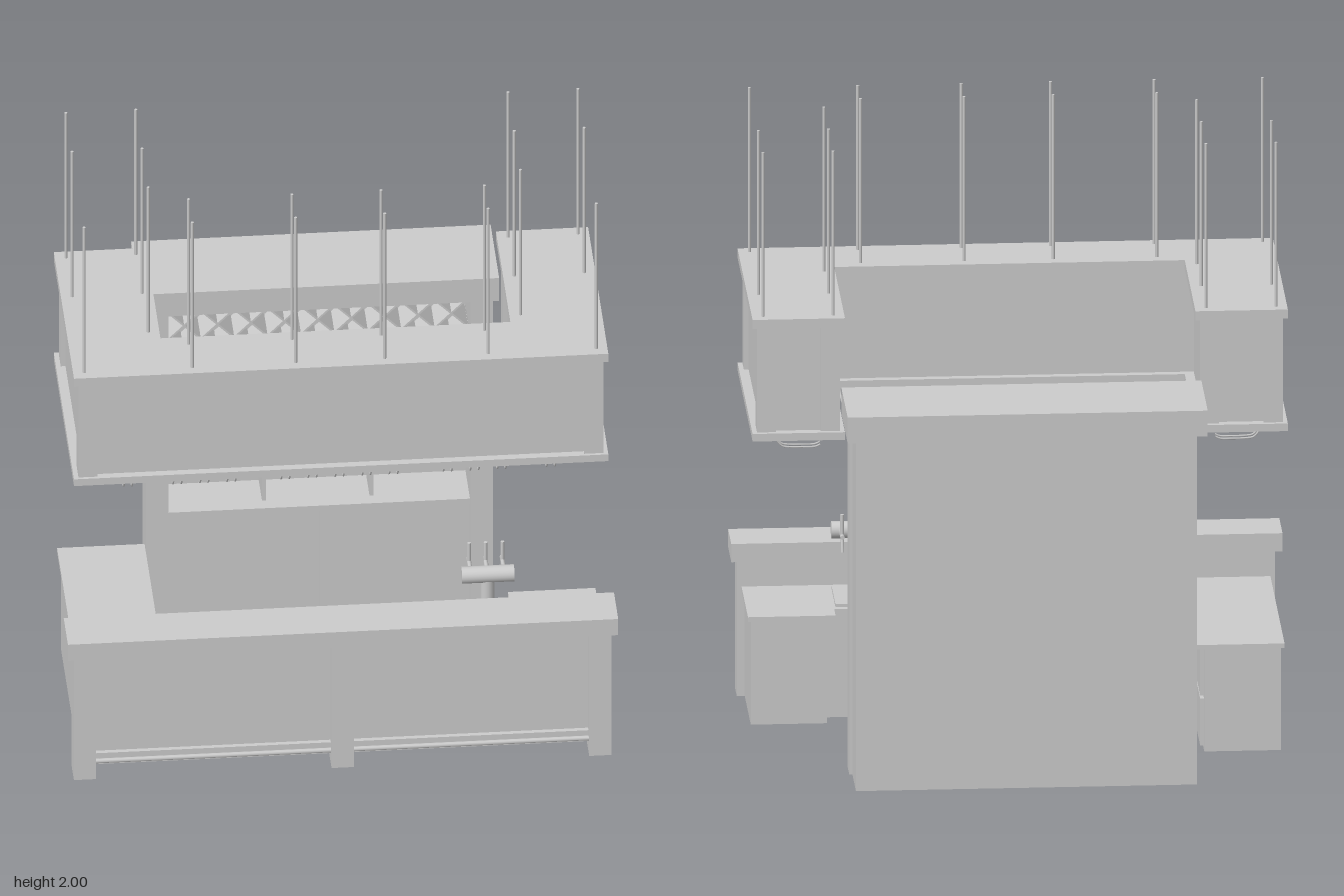
import * as THREE from 'three';

const mat = new THREE.MeshStandardMaterial({ color: 0xcccccc });

export function createModel() {
  const root = new THREE.Group();

  const group = (name) => {
    const g = new THREE.Group();
    g.name = name;
    root.add(g);
    return g;
  };
  const add = (parent, name, geo) => {
    const m = new THREE.Mesh(geo, mat);
    m.name = name;
    parent.add(m);
    return m;
  };
  // Box given by its min and max along each axis
  const box = (parent, name, x0, x1, y0, y1, z0, z1) =>
    add(parent, name, new THREE.BoxGeometry(x1 - x0, y1 - y0, z1 - z0)
      .translate((x0 + x1) / 2, (y0 + y1) / 2, (z0 + z1) / 2));
  // The same box on both sides
  const pair = (parent, name, x0, x1, ...yz) => {
    box(parent, name, x0, x1, ...yz);
    box(parent, name, -x1, -x0, ...yz);
  };
  // Horizontal U-shaped slab, open to the back
  const uSlab = (parent, name, xOut, xIn, zFront, zIn, zBack, y0, y1) => {
    const s = new THREE.Shape([
      [-xOut, -zFront], [xOut, -zFront], [xOut, -zBack], [xIn, -zBack],
      [xIn, -zIn], [-xIn, -zIn], [-xIn, -zBack], [-xOut, -zBack],
    ].map(([x, y]) => new THREE.Vector2(x, y)));
    const g = new THREE.ExtrudeGeometry(s, { depth: y1 - y0, bevelEnabled: false });
    return add(parent, name, g.rotateX(-Math.PI / 2).translate(0, y0, 0));
  };
  // Round bar between two points
  const bar = (parent, name, a, b, r, sides = 8) => {
    const p = new THREE.Vector3(...a), d = new THREE.Vector3(...b).sub(p);
    const m = add(parent, name, new THREE.CylinderGeometry(r, r, d.length(), sides));
    m.position.copy(p).addScaledVector(d, 0.5);
    m.quaternion.setFromUnitVectors(new THREE.Vector3(0, 1, 0), d.normalize());
    return m;
  };

  // Front bar: top, posts, recessed panels and foot rails
  const front = group('frontBar');
  box(front, 'barTop', -0.865, 0.865, 0.455, 0.515, 0.43, 0.585);
  pair(front, 'cornerPost', 0.775, 0.845, 0, 0.455, 0.475, 0.57);
  box(front, 'middlePost', -0.035, 0.035, 0, 0.455, 0.475, 0.57);
  box(front, 'frontPanel', -0.78, 0.78, 0.03, 0.455, 0.475, 0.53);
  pair(front, 'skirting', 0.035, 0.775, 0.045, 0.08, 0.53, 0.545);
  for (const s of [-1, 1]) bar(front, 'footRail', [s * 0.035, 0.055, 0.55], [s * 0.775, 0.055, 0.55], 0.008);

  // Work counter: long arm with drawers, short arm, open shelves between
  const work = group('workCounter');
  box(work, 'worktop', -0.83, 0.83, 0.345, 0.36, 0.225, 0.475);
  box(work, 'longArmTop', -0.83, -0.555, 0.345, 0.36, -0.215, 0.225);
  box(work, 'shortArmTop', 0.555, 0.83, 0.345, 0.36, 0.16, 0.225);
  box(work, 'longArm', -0.82, -0.58, 0, 0.345, -0.185, 0.475);
  box(work, 'shortArm', 0.58, 0.82, 0, 0.345, 0.18, 0.475);
  box(work, 'endCabinet', 0.42, 0.58, 0, 0.345, 0.24, 0.475);
  for (const y of [0.0, 0.165]) box(work, 'shelf', -0.58, 0.42, y, y + 0.02, 0.25, 0.475);
  for (const y of [0.015, 0.18]) box(work, 'drawer', -0.58, -0.568, y, y + 0.155, -0.17, 0.18);

  // Beer tower with three taps
  const tower = group('tapTower');
  box(tower, 'dripTray', 0.395, 0.55, 0.36, 0.37, 0.245, 0.43);
  bar(tower, 'column', [0.472, 0.37, 0.378], [0.472, 0.57, 0.378], 0.022, 20);
  bar(tower, 'crossTube', [0.39, 0.572, 0.378], [0.555, 0.572, 0.378], 0.027, 20);
  for (const x of [0.42, 0.472, 0.525]) {
    bar(tower, 'tapBody', [x, 0.575, 0.36], [x, 0.575, 0.285], 0.007);
    bar(tower, 'tapSpout', [x, 0.575, 0.305], [x, 0.525, 0.29], 0.005);
    bar(tower, 'tapHandle', [x, 0.575, 0.307], [x, 0.645, 0.307], 0.006);
  }

  // Back cabinet: carcass, posts, cap, doors and ledge
  const back = group('backCabinet');
  box(back, 'cap', -0.565, 0.565, 1.165, 1.25, -0.585, -0.275);
  box(back, 'backPanel', -0.535, 0.535, 0, 1.165, -0.52, -0.46);
  pair(back, 'sidePanel', 0.475, 0.535, 0, 1.165, -0.46, -0.35);
  pair(back, 'frontPost', 0.475, 0.545, 0, 1.165, -0.35, -0.275);
  box(back, 'lowerCarcass', -0.475, 0.475, 0.02, 0.4, -0.46, -0.32);
  pair(back, 'door', 0.003, 0.475, 0.03, 0.395, -0.32, -0.305);
  box(back, 'ledge', -0.475, 0.475, 0.4, 0.42, -0.46, -0.295);
  // Open shelving
  pair(back, 'divider', 0.163, 0.175, 0.42, 0.915, -0.46, -0.34);
  for (const y of [0.55, 0.735]) pair(back, 'sideShelf', 0.175, 0.475, y, y + 0.012, -0.46, -0.34);
  box(back, 'middleShelf', -0.163, 0.163, 0.643, 0.655, -0.46, -0.34);
  box(back, 'topShelf', -0.475, 0.475, 0.913, 0.925, -0.46, -0.34);
  // Crossed bottle rack: diagonal slats clipped to the rack opening
  const [yLow, yHigh, half] = [0.925, 1.165, 0.475];
  const rise = yHigh - yLow;
  for (let i = -2; i <= 9; i++) {
    const x0 = -half + i * 0.105;
    const a = Math.max(x0, -half), b = Math.min(x0 + rise, half);
    if (b - a < 0.02) continue;
    for (const s of [-1, 1]) {
      const m = box(back, 'rackSlat', -(b - a) * Math.SQRT1_2, (b - a) * Math.SQRT1_2, -0.003, 0.003, -0.06, 0.06);
      m.position.set(s * (a + b) / 2, yLow + (a + b) / 2 - x0, -0.4);
      m.rotation.z = s * Math.PI / 4;
    }
  }

  // Hanging canopy: U-shaped trims, recessed body and corner posts
  const canopy = group('canopy');
  uSlab(canopy, 'topTrim', 0.84, 0.55, 0.515, 0.305, -0.22, 1.43, 1.46);
  uSlab(canopy, 'bottomTrim', 0.84, 0.55, 0.515, 0.305, -0.22, 1.06, 1.085);
  uSlab(canopy, 'canopyBody', 0.81, 0.58, 0.49, 0.33, -0.19, 1.085, 1.43);
  pair(canopy, 'frontCornerPost', 0.765, 0.825, 1.085, 1.43, 0.44, 0.505);
  pair(canopy, 'backOuterPost', 0.765, 0.825, 1.085, 1.43, -0.205, -0.14);
  pair(canopy, 'backInnerPost', 0.565, 0.625, 1.085, 1.43, -0.205, -0.14);

  // Suspension rods
  const rods = group('suspensionRods');
  const rodSpots = [
    [0.805, 0.48], [0.805, 0.04], [0.805, -0.185],
    [0.585, 0.265], [0.585, 0.04], [0.585, -0.185],
    [0.465, 0.48], [0.465, 0.345], [0.14, 0.48], [0.14, 0.345],
  ];
  for (const [x, z] of rodSpots)
    for (const s of [-1, 1]) bar(rods, 'rod', [s * x, 1.46, z], [s * x, 2, z], 0.005);

  // Glass hanger wires; the path runs inward from the outer edge
  const racks = group('glassRacks');
  const wire = new THREE.TubeGeometry(new THREE.CatmullRomCurve3(
    [[0, 1.062], [0.008, 1.035], [0.03, 1.007], [0.05, 1.003], [0.1, 1.002], [0.135, 1.003], [0.15, 1.01]]
      .map(([d, y]) => new THREE.Vector3(-d, y, 0))), 20, 0.003, 6);
  const hang = (x, z, turn) => {
    const m = add(racks, 'glassHanger', wire);
    m.position.set(x, 0, z);
    m.rotation.y = turn;
  };
  for (const d of [-0.013, 0.013]) {
    for (const c of [0, 0.085, 0.17, 0.34, 0.425, 0.51, 0.665])
      for (const s of c ? [-1, 1] : [1]) hang(s * c + d, 0.475, -Math.PI / 2);
    for (const z of [0.245, 0.163, 0.08, -0.005, -0.09]) {
      hang(0.77, z + d, 0);
      hang(-0.77, z + d, Math.PI);
    }
  }
  return root;
}
